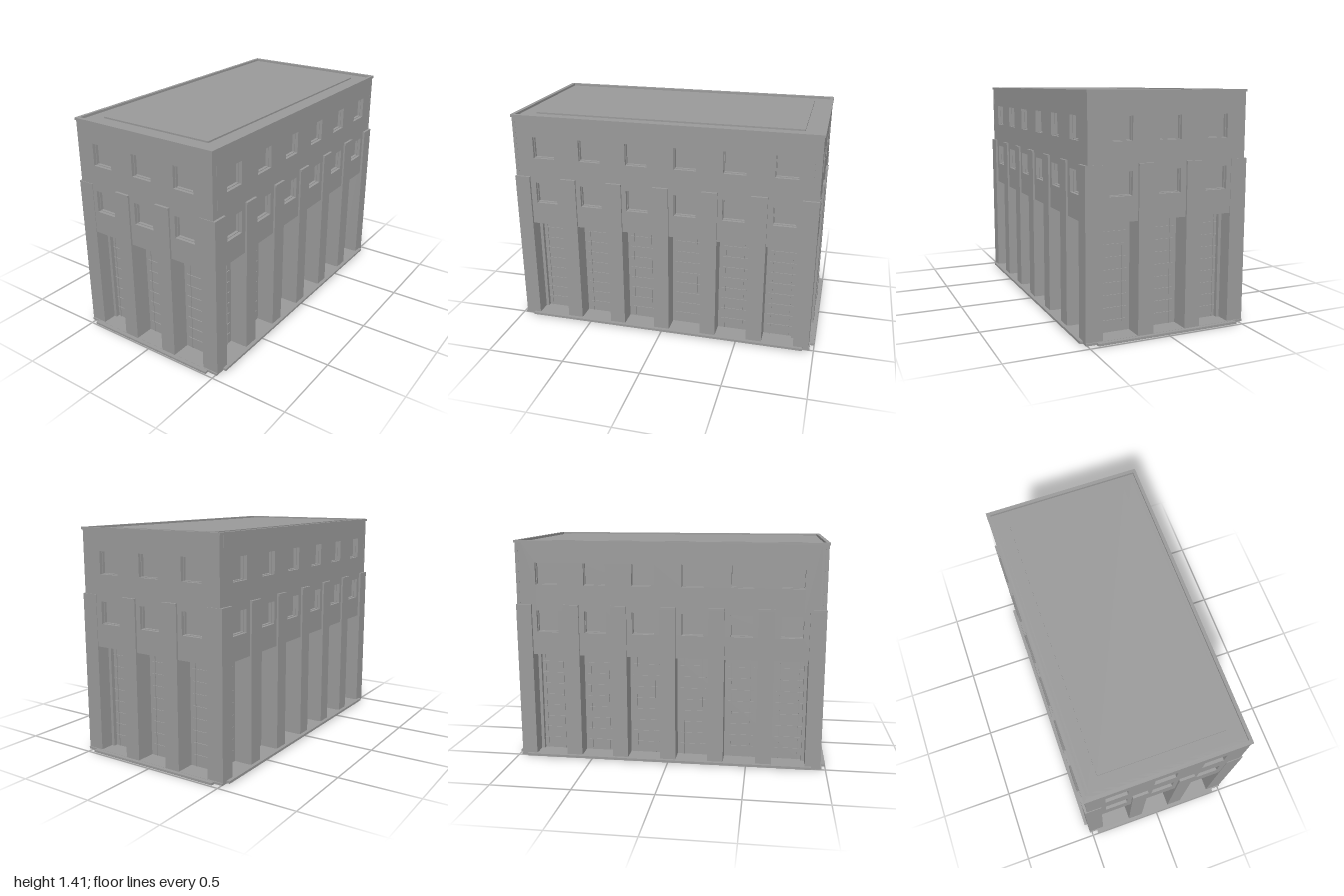
import * as THREE from 'three';

const mat = new THREE.MeshStandardMaterial({ color: 0x9a9a9a, flatShading: true });

const FRONT_WINDOWS = [-0.31, -0.005, 0.3];
const SIDE_WINDOWS = [0.765, 0.46, 0.155, -0.155, -0.46, -0.77];
const FRONT_PIERS = [-0.16, 0.145];
const SIDE_PIERS = [0.61, 0.305, 0, -0.31, -0.615];
const WINDOW_W = 0.14;
const WINDOW_H = 0.138;
const WINDOW_ROWS = [0.835, 1.138];

export function createModel() {
  const model = new THREE.Group();
  model.name = 'building';

  const add = (name, geometry, parent = model) => {
    const mesh = new THREE.Mesh(geometry, mat);
    mesh.name = name;
    parent.add(mesh);
    return mesh;
  };

  // box given by its limits on each axis
  const box = (name, x0, x1, y0, y1, z0, z1, parent) => {
    const mesh = add(name, new THREE.BoxGeometry(x1 - x0, y1 - y0, z1 - z0), parent);
    mesh.position.set((x0 + x1) / 2, (y0 + y1) / 2, (z0 + z1) / 2);
  };

  const rect = (target, x0, y0, x1, y1) => {
    target.moveTo(x0, y0);
    target.lineTo(x1, y0);
    target.lineTo(x1, y1);
    target.lineTo(x0, y1);
    target.closePath();
    return target;
  };

  // rectangular ring seen from above, between two heights
  const ring = (name, ox, oz, ix, iz, y0, y1) => {
    const shape = rect(new THREE.Shape(), -ox, -oz, ox, oz);
    shape.holes.push(rect(new THREE.Path(), -ix, -iz, ix, iz));
    const geometry = new THREE.ExtrudeGeometry(shape, { depth: y1 - y0, bevelEnabled: false });
    geometry.rotateX(-Math.PI / 2);
    add(name, geometry).position.y = y0;
  };

  // base: ring plus the shallow ledges along each side
  ring('baseRing', 0.515, 0.975, 0.385, 0.845, 0.008, 0.022);
  for (const s of [-1, 1]) {
    const [x0, x1] = s > 0 ? [0.5, 0.535] : [-0.535, -0.5];
    const [z0, z1] = s > 0 ? [0.96, 1] : [-1, -0.96];
    box('sideLedge', x0, x1, 0.009, 0.024, -0.93, 0.91);
    box('endLedge', -0.46, 0.45, 0.007, 0.021, z0, z1);
  }

  // hollow core behind the bays, upper storey backing and roof
  ring('innerWalls', 0.395, 0.855, 0.38, 0.84, 0.01, 1.39);
  ring('upperBacking', 0.462, 0.927, 0.39, 0.85, 0.775, 1.39);
  box('roof', -0.49, 0.49, 1.38, 1.4, -0.955, 0.955);
  box('roofPanel', -0.388, 0.388, 1.4, 1.41, -0.848, 0.848);
  ring('parapet', 0.506, 0.971, 0.485, 0.948, 1.4, 1.415);

  // wall panel pierced by both rows of windows, each opening narrowed by inset
  const piercedWall = (name, half, windows, inset, depth, z, parent) => {
    const shape = rect(new THREE.Shape(), -half, 0.69, half, 1.4);
    for (const c of windows) {
      for (const y of WINDOW_ROWS) {
        shape.holes.push(rect(new THREE.Path(), c - WINDOW_W / 2 + inset, y + inset,
          c + WINDOW_W / 2 - inset, y + WINDOW_H - inset));
      }
    }
    add(name, new THREE.ExtrudeGeometry(shape, { depth, bevelEnabled: false }), parent)
      .position.z = z;
  };

  // one facade, built facing +z
  const facade = (name, angle, half, face, inner, windows, piers, bayEnd) => {
    const side = new THREE.Group();
    side.name = name;
    side.rotation.y = angle;
    model.add(side);

    // outer wall and the slightly narrower window surround behind it
    piercedWall('upperWall', half, windows, 0, 0.02, face - 0.02, side);
    piercedWall('windowSurround', half - 0.001, windows, 0.004, 0.02, face - 0.04, side);

    // piers with a slightly proud cap
    for (const c of piers) {
      box('pier', c - 0.05, c + 0.05, 0.015, 1, inner - 0.017, face + 0.012, side);
      box('pierCap', c - 0.05, c + 0.05, 1, 1.014, face - 0.01, face + 0.016, side);
    }

    // thin glazing bars on the recessed wall, and a foot pad under each bay
    const stops = [-bayEnd - 0.05, ...[...piers].sort((a, b) => a - b), bayEnd + 0.05];
    for (let i = 0; i < stops.length - 1; i++) {
      const left = stops[i] + 0.05;
      const right = stops[i + 1] - 0.05;
      const mid = (left + right) / 2;
      for (const dx of [-0.06, 0.06]) {
        box('glazingUpright', mid + dx - 0.001, mid + dx + 0.001, 0.02, 0.775,
          inner - 0.002, inner + 0.005, side);
      }
      for (let k = 1; k <= 9; k++) {
        const y = 0.02 + k * 0.075;
        box('glazingBar', left + 0.02, right - 0.02, y - 0.001, y + 0.001,
          inner - 0.002, inner + 0.005, side);
      }
      box('footPad', mid - 0.075, mid + 0.075, 0, 0.01, inner + 0.03, inner + 0.1, side);
    }
  };

  const flip = (list) => list.map((v) => -v);
  facade('frontFacade', 0, 0.5, 0.965, 0.855, FRONT_WINDOWS, FRONT_PIERS, 0.41);
  facade('backFacade', Math.PI, 0.5, 0.965, 0.855, flip(FRONT_WINDOWS), flip(FRONT_PIERS), 0.41);
  facade('leftFacade', Math.PI / 2, 0.925, 0.5, 0.395, flip(SIDE_WINDOWS), flip(SIDE_PIERS), 0.87);
  facade('rightFacade', -Math.PI / 2, 0.925, 0.5, 0.395, SIDE_WINDOWS, SIDE_PIERS, 0.87);

  // corner posts, tied to the core, with caps and cross-shaped feet
  for (const sx of [-1, 1]) {
    for (const sz of [-1, 1]) {
      const corner = new THREE.Group();
      corner.name = 'cornerPost';
      corner.position.set(sx * 0.4625, 0, sz * 0.919);
      model.add(corner);
      box('post', -0.0525, 0.0525, 0.015, 1, -0.049, 0.049, corner);
      box('postCap', -0.0525, 0.0525, 1, 1.013, -0.05, 0.05, corner);
      box('footBar', -0.045, 0.045, 0.004, 0.01, -0.015, 0.015, corner);
      box('footBar', -0.015, 0.015, 0.005, 0.01, -0.045, 0.045, corner);
      const tie = new THREE.Mesh(new THREE.BoxGeometry(0.03, 0.765, 0.03), mat);
      tie.name = 'cornerTie';
      tie.position.set(sx * -0.0575, 0.3975, sz * -0.054);
      corner.add(tie);
    }
  }

  return model;
}
